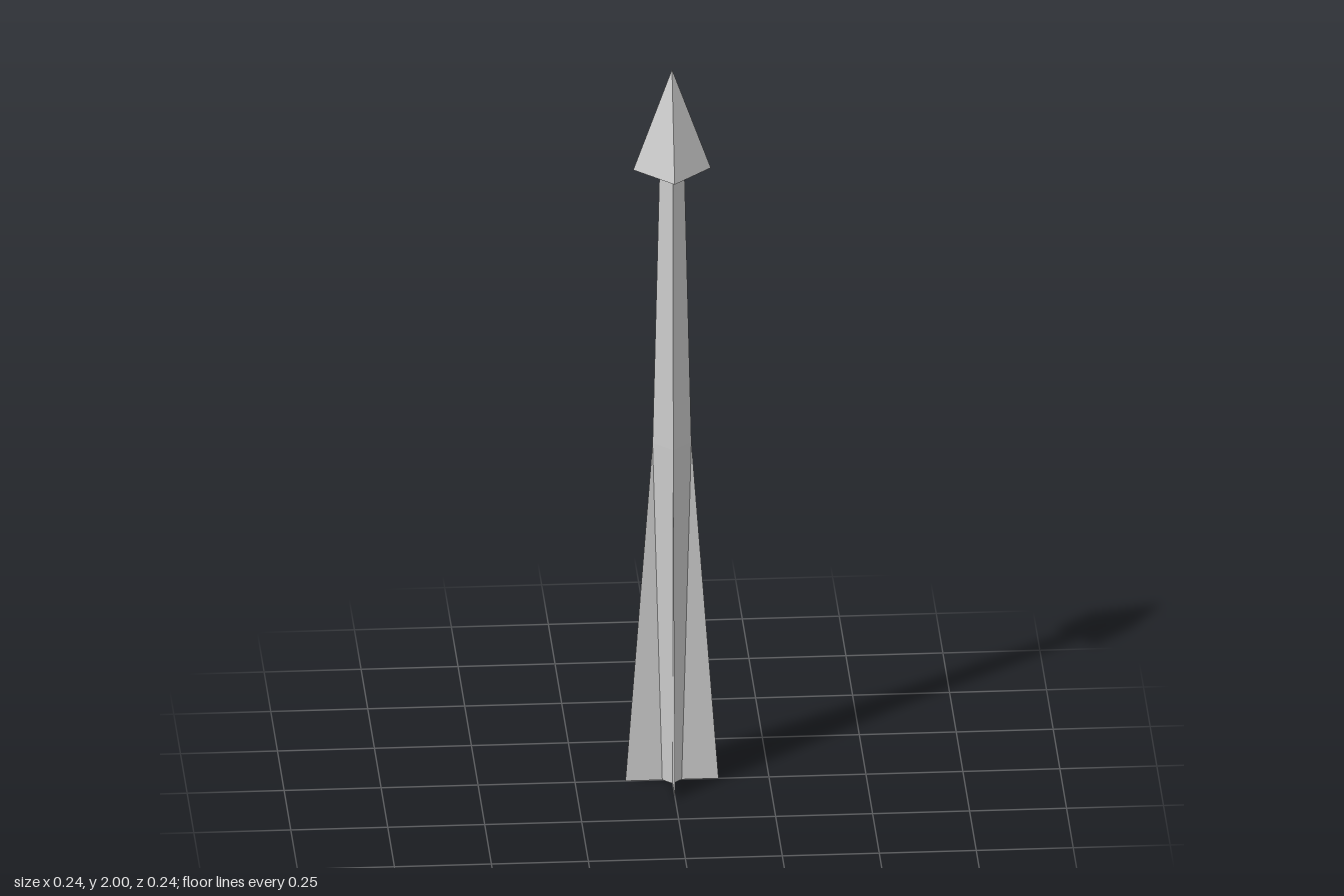
import * as THREE from 'three';

export function createModel() {
  const model = new THREE.Group();
  model.name = 'arrow';
  const solid = new THREE.MeshStandardMaterial({ color: 0xcccccc, flatShading: true });
  const thin = new THREE.MeshStandardMaterial({ color: 0xcccccc, flatShading: true, side: THREE.DoubleSide });

  const add = (name, geometry, material) => {
    const mesh = new THREE.Mesh(geometry, material);
    mesh.name = name;
    model.add(mesh);
    return mesh;
  };

  // Four-sided shaft, widest at the top of the fins
  const profile = [[0, 0], [0.025, 0], [0.05, 0.95], [0.032, 1.72]]
    .map(([r, y]) => new THREE.Vector2(r, y));
  add('shaft', new THREE.LatheGeometry(profile, 4), solid);

  // Pyramid head with a closed base
  const head = add('head', new THREE.ConeGeometry(0.1, 0.28, 4), solid);
  head.position.y = 1.86;

  // Flat triangular fins running out from the shaft's corners
  const finShape = new THREE.Shape([[0.025, 0], [0.12, 0], [0.05, 0.95]]
    .map(([x, y]) => new THREE.Vector2(x, y)));
  const finGeometry = new THREE.ShapeGeometry(finShape);
  for (let i = 0; i < 4; i++) {
    add('fin', finGeometry, thin).rotation.y = i * Math.PI / 2;
  }

  return model;
}
